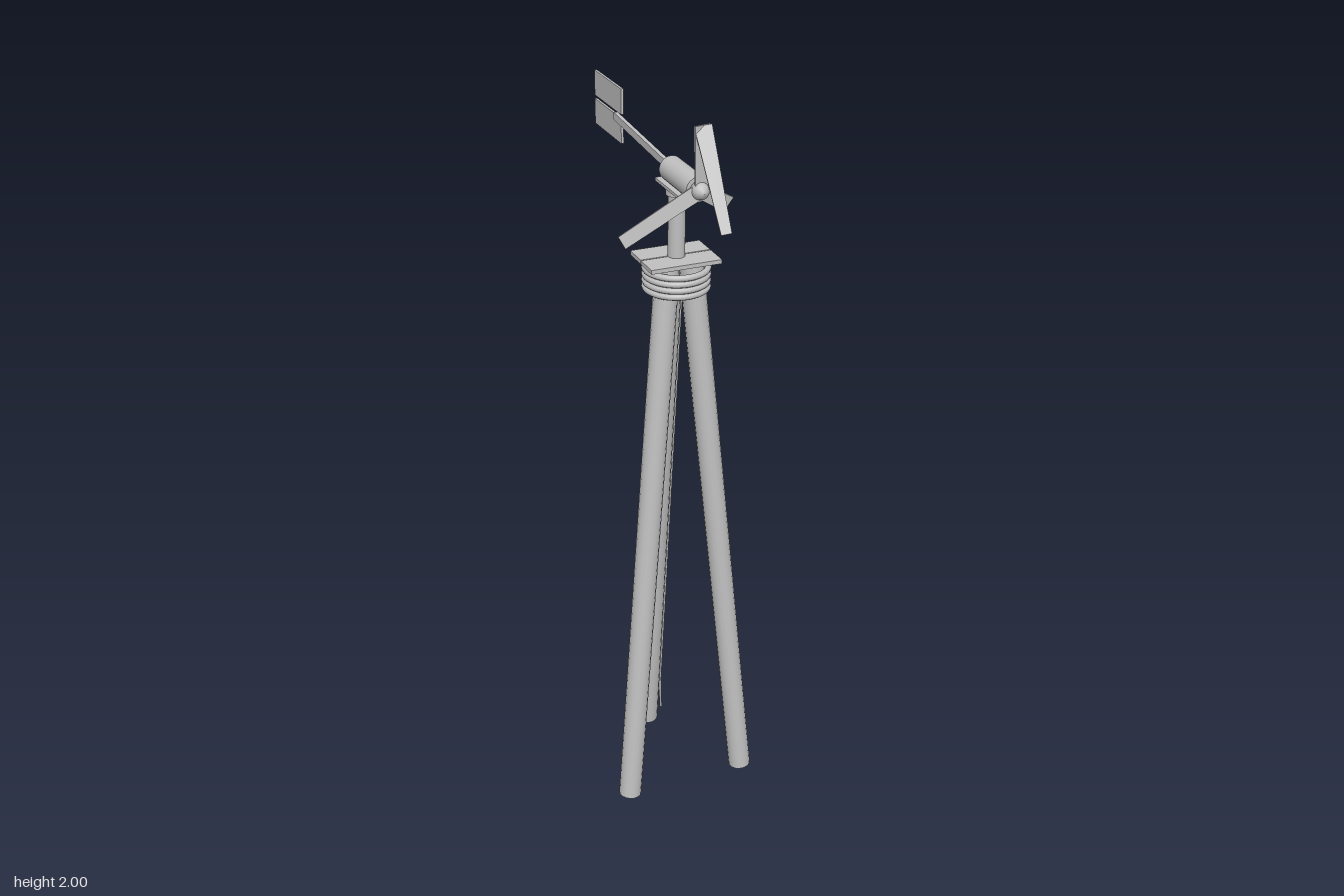
import * as THREE from 'three';

const V = (x, y, z) => new THREE.Vector3(x, y, z);

export function createModel() {
  const model = new THREE.Group();
  model.name = 'windTurbine';
  const metal = new THREE.MeshStandardMaterial({ color: 0xc0c0c0 });
  metal.name = 'grey metal';
  const axisZ = 0.165; // mast axis
  const hubY = 1.84;

  const add = (name, geometry, x = 0, y = 0, z = 0) => {
    const mesh = new THREE.Mesh(geometry, metal);
    mesh.name = name;
    mesh.position.set(x, y, z);
    model.add(mesh);
    return mesh;
  };
  const box = (name, w, h, d, x, y, z) => add(name, new THREE.BoxGeometry(w, h, d), x, y, z);
  const rod = (name, a, b, r, sides = 16) => {
    const mid = a.clone().add(b).multiplyScalar(0.5);
    const mesh = add(name, new THREE.CylinderGeometry(r, r, a.distanceTo(b), sides), mid.x, mid.y, mid.z);
    mesh.quaternion.setFromUnitVectors(V(0, 1, 0), b.clone().sub(a).normalize());
    return mesh;
  };

  // Tripod legs: one behind, two in front
  [['backLeg', -90], ['leftLeg', 30], ['rightLeg', 150]].forEach(([name, deg]) => {
    const a = THREE.MathUtils.degToRad(deg);
    const at = (d, y) => V(Math.cos(a) * d, y, axisZ + Math.sin(a) * d);
    rod(name, at(0.203, 0.004), at(0.037, 1.611), 0.032);
  });

  // Rope wrapped round the leg tops
  for (let i = 0; i < 4; i++) {
    const ring = add('lashingRing' + (i + 1), new THREE.TorusGeometry(0.08, 0.0085, 10, 40), 0, 1.545 + i * 0.0167, axisZ);
    ring.rotation.x = Math.PI / 2;
  }

  // Cable running down beside the back leg, loose at the bottom
  const cable = new THREE.CurvePath();
  const points = [V(0.035, 1.56, 0.123), V(0.035, 0.16, -0.018), V(0.058, 0.003, -0.067)];
  cable.add(new THREE.LineCurve3(points[0], points[1]));
  cable.add(new THREE.LineCurve3(points[1], points[2]));
  add('cable', new THREE.TubeGeometry(cable, 40, 0.004, 8));

  // Two-board platform, mast and its bearing
  box('frontBoard', 0.19, 0.011, 0.069, 0, 1.619, 0.1985);
  box('backBoard', 0.19, 0.011, 0.069, 0, 1.619, 0.1255);
  rod('mast', V(0, 1.61, axisZ), V(0, 1.8, axisZ), 0.022, 20);
  rod('bearingCollar', V(0, 1.786, axisZ), V(0, 1.805, axisZ), 0.028, 20);
  box('bearingPlate', 0.064, 0.008, 0.16, 0, 1.808, 0.18);

  // Generator and hub
  rod('generator', V(0, hubY, 0.127), V(0, hubY, 0.295), 0.032, 24);
  const nose = [[0, -0.01], [0.022, -0.01], [0.022, 0.012], [0.017, 0.024], [0.008, 0.032], [0, 0.034]];
  const hub = add('hub', new THREE.LatheGeometry(nose.map(p => new THREE.Vector2(...p)), 20), 0, hubY, 0.297);
  hub.rotation.x = Math.PI / 2;

  // Blades: thin tapered plates growing along +y from their root
  const blade = (name, start, length, rootWidth, tipWidth) => {
    const g = new THREE.BoxGeometry(1, length, 0.005).translate(0, length / 2, 0);
    const p = g.attributes.position;
    for (let i = 0; i < p.count; i++) {
      p.setX(i, p.getX(i) * THREE.MathUtils.lerp(rootWidth, tipWidth, p.getY(i) / length));
    }
    g.computeVertexNormals();
    g.rotateY(0.2).translate(0, start, 0);
    return add(name, g, 0, hubY, 0.305);
  };
  blade('upperBlade', 0.01, 0.149, 0.036, 0.044).position.x = 0.003;
  blade('rightBlade', 0.012, 0.212, 0.038, 0.034).rotation.z = THREE.MathUtils.degToRad(117);
  blade('brokenLeftBlade', 0.012, 0.074, 0.038, 0.042).rotation.z = THREE.MathUtils.degToRad(-120);

  // Snapped tip of the upper blade, hanging forward
  const tip = blade('snappedTip', 0, 0.257, 0.043, 0.026);
  tip.position.set(0.005, 1.997, 0.304);
  tip.rotation.set(Math.PI - 0.514, 0, -0.03);

  // Tail boom and its two vanes
  const a = V(0, 1.84, 0.14), b = V(0, 1.864, -0.254);
  const boom = box('tailBoom', 0.011, 0.02, a.distanceTo(b), 0, (a.y + b.y) / 2, (a.z + b.z) / 2);
  boom.rotation.x = Math.atan2(b.y - a.y, a.z - b.z);
  box('upperVane', 0.007, 0.069, 0.2, 0.01, 1.907, -0.33);
  box('lowerVane', 0.007, 0.069, 0.2, 0.01, 1.828, -0.33);

  return model;
}
